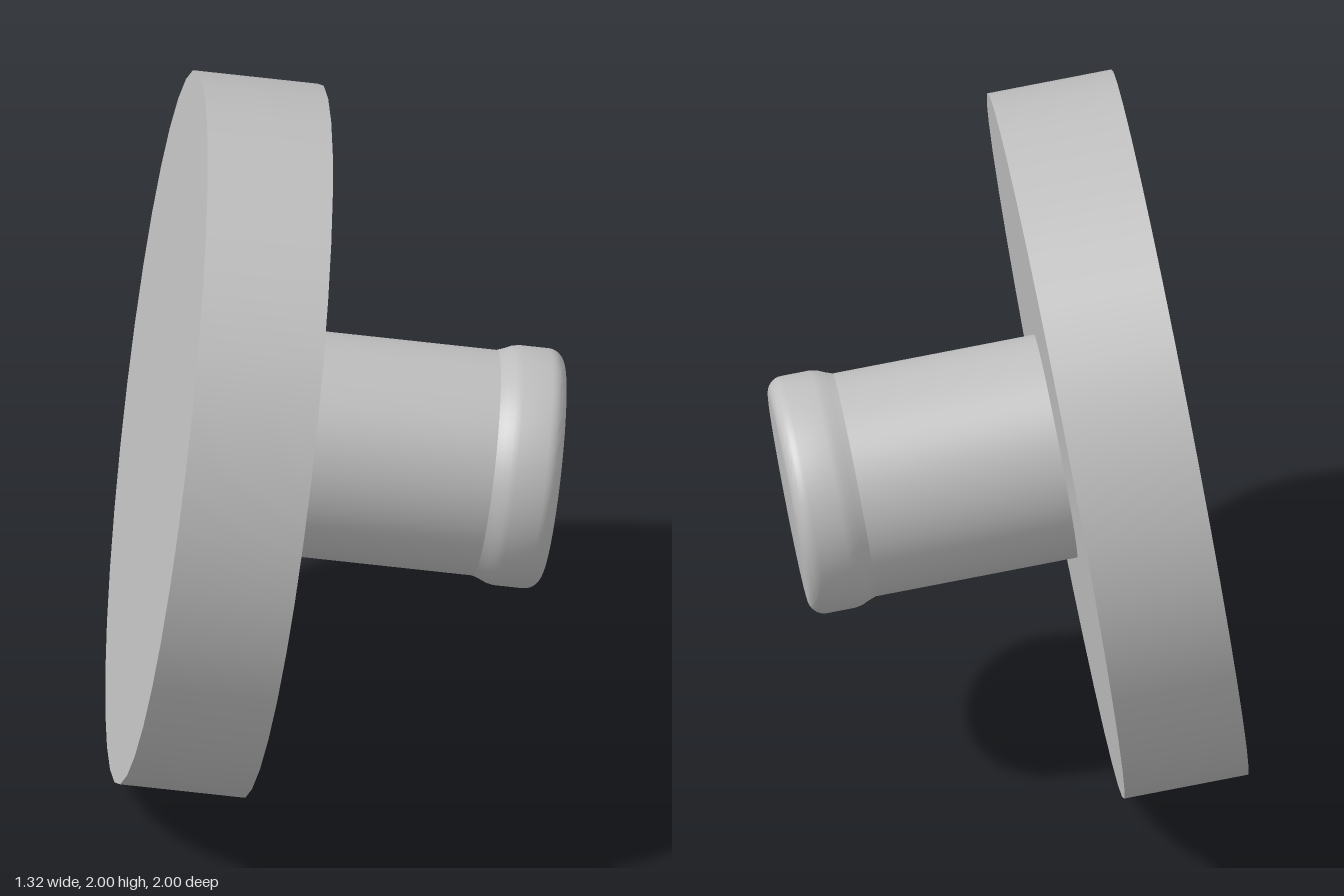
import * as THREE from 'three';
import { toCreasedNormals } from 'three/addons/utils/BufferGeometryUtils.js';

export function createModel() {
  const model = new THREE.Group();
  model.name = 'flangedPin';
  const grey = new THREE.MeshStandardMaterial({ color: 0xc0c0c0 });
  grey.name = 'plain grey';

  // Both parts share one tilted axis (local y)
  const body = new THREE.Group();
  body.name = 'tiltedBody';
  const axis = new THREE.Vector3(1, -0.142, 0.142).normalize();
  body.quaternion.setFromUnitVectors(new THREE.Vector3(0, 1, 0), axis);
  body.position.set(-0.306, 1, 0);
  model.add(body);

  // Broad disc
  const disc = new THREE.Mesh(new THREE.CylinderGeometry(0.985, 0.985, 0.346, 36), grey);
  disc.name = 'disc';
  body.add(disc);

  // Pin: straight shaft, flared collar and rounded tip
  const profile = [[0.311, 0.12], [0.311, 0.735], [0.318, 0.755], [0.327, 0.775], [0.331, 0.795]];
  const fillet = 0.045, steps = 8;
  for (let i = 0; i <= steps; i++) {
    const a = (i / steps) * Math.PI / 2;
    profile.push([0.331 - fillet + fillet * Math.cos(a), 0.92 - fillet + fillet * Math.sin(a)]);
  }
  profile.push([0, 0.92]);
  const pinGeometry = new THREE.LatheGeometry(profile.map(([r, y]) => new THREE.Vector2(r, y)), 64);
  const pin = new THREE.Mesh(toCreasedNormals(pinGeometry, 0.32), grey);
  pin.name = 'pin';
  body.add(pin);

  return model;
}
